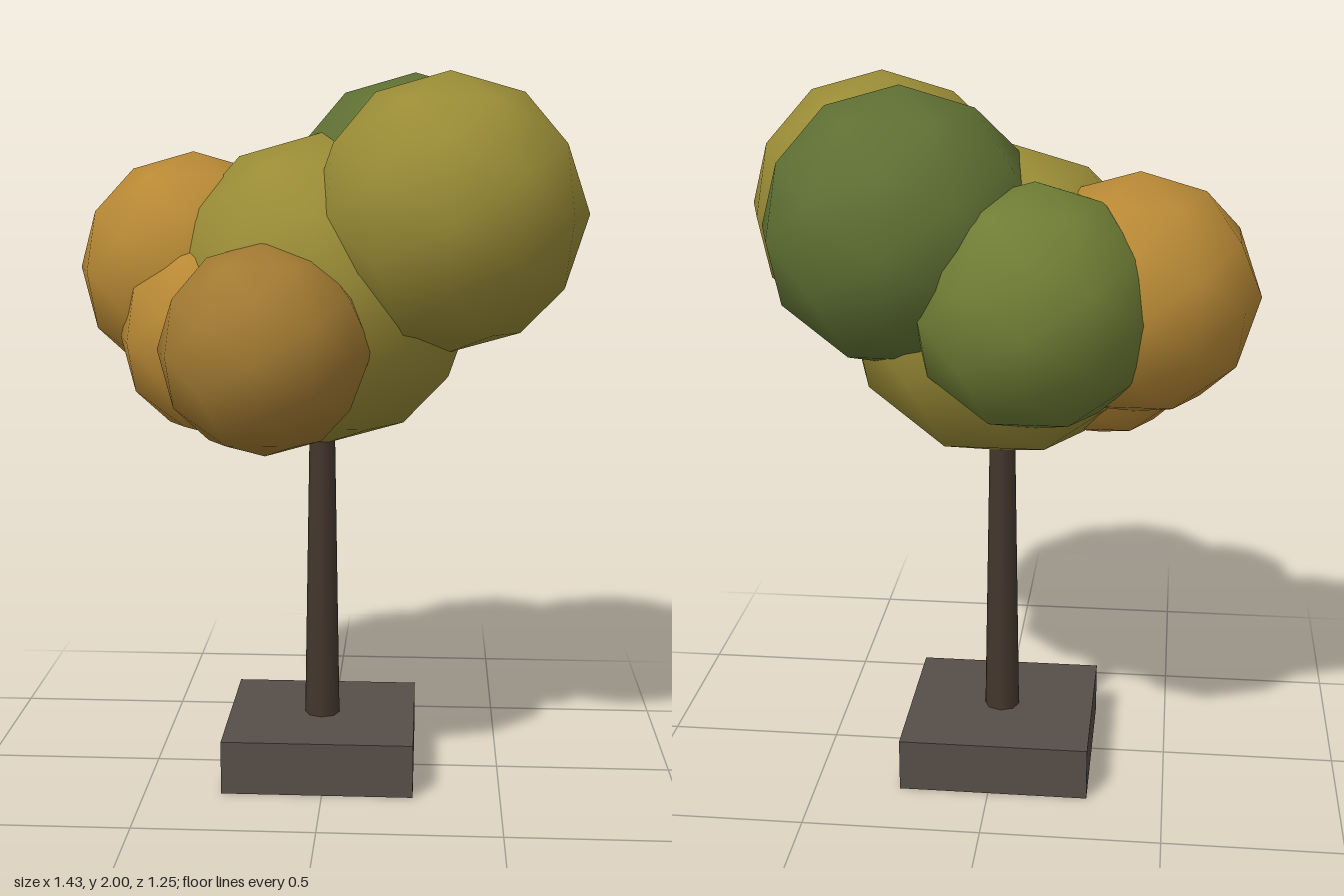
import * as THREE from 'three';

const TRUNK_X = -0.014;
const TRUNK_Z = -0.02;

// name, radius, centre [x, y, z], colour
const FOLIAGE = [
  ['foliageCore', 0.44, [TRUNK_X, 1.395, TRUNK_Z], 0x9a8c36],
  ['foliageUpperFront', 0.378, [0.337, 1.622, 0.137], 0x9a8c36],
  ['foliageUpperBack', 0.378, [0.242, 1.622, -0.162], 0x5f7033],
  ['foliageRight', 0.33, [-0.388, 1.45, -0.125], 0xb88935],
  ['foliageBack', 0.33, [-0.125, 1.45, -0.297], 0x6f7d35],
  ['foliageLowerFront', 0.285, [-0.145, 1.275, 0.335], 0xa27a32],
  ['foliageLowerRight', 0.285, [-0.288, 1.275, 0.07], 0xb88935],
];

function addPart(group, name, geometry, color, position) {
  const mesh = new THREE.Mesh(geometry, new THREE.MeshStandardMaterial({ color }));
  mesh.name = name;
  mesh.position.set(...position);
  group.add(mesh);
}

export function createModel() {
  const tree = new THREE.Group();
  tree.name = 'tree';

  // Square plinth
  addPart(tree, 'base', new THREE.BoxGeometry(0.54, 0.152, 0.54), 0x574e48, [TRUNK_X, 0.076, TRUNK_Z]);

  // Tapered trunk, rising from inside the plinth into the crown
  addPart(tree, 'trunk', new THREE.CylinderGeometry(0.033, 0.053, 1.2, 8), 0x44372d, [TRUNK_X, 0.601, TRUNK_Z]);

  // Crown of overlapping smooth-shaded low-poly balls
  const crown = new THREE.Group();
  crown.name = 'crown';
  for (const [name, radius, centre, color] of FOLIAGE) {
    addPart(crown, name, new THREE.IcosahedronGeometry(radius, 1), color, centre);
  }
  tree.add(crown);

  return tree;
}
